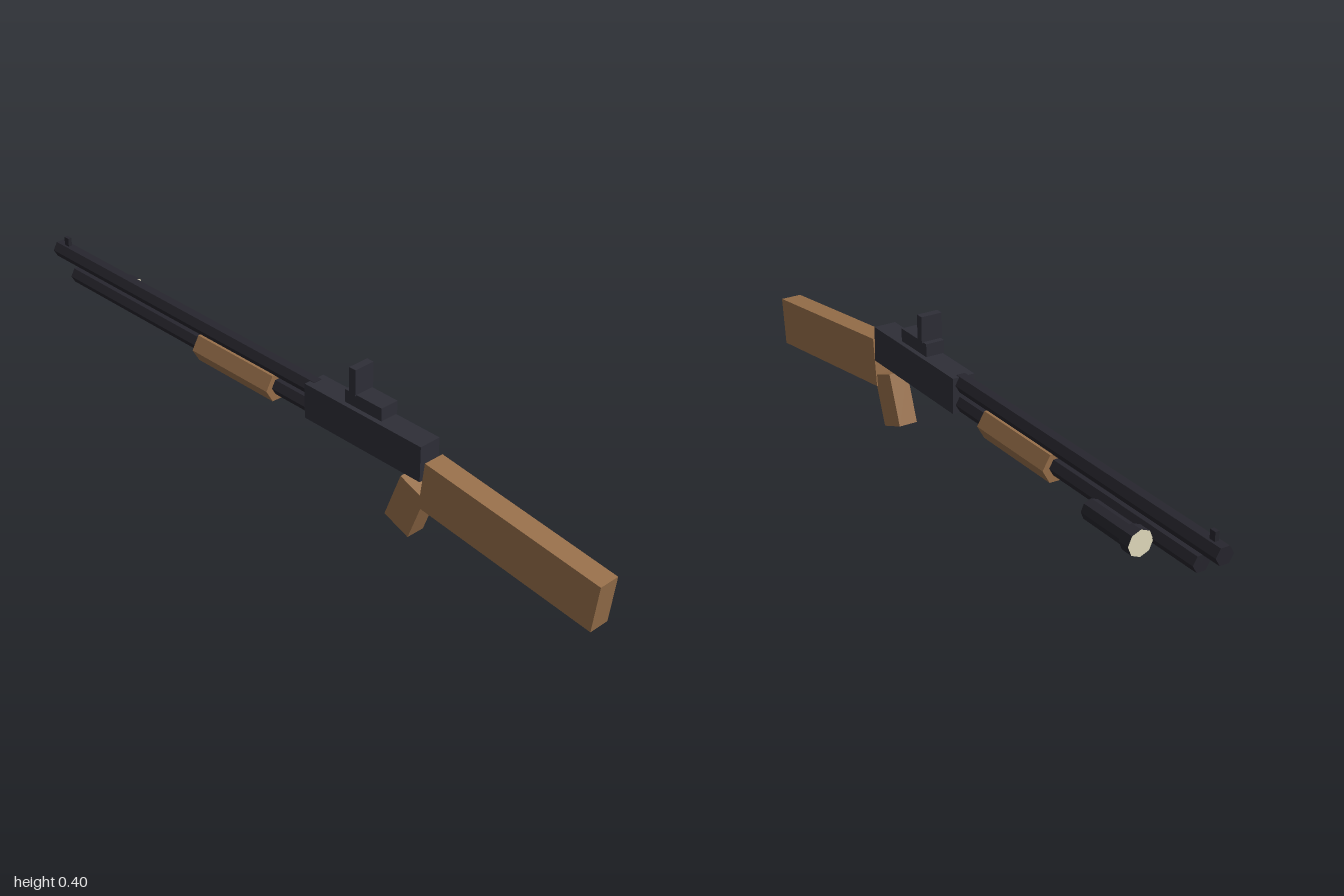
import * as THREE from 'three';

const mat = (name, color) => {
  const m = new THREE.MeshStandardMaterial({ color, flatShading: true });
  m.name = name;
  return m;
};

export function createModel() {
  const model = new THREE.Group();
  model.name = 'shotgun';
  const steel = mat('receiver steel', 0x2e2e37);
  const dark = mat('dark barrel steel', 0x27262e);
  const wood = mat('wood', 0x976f4a);
  const cream = mat('lamp lens', 0xe6dfc0);
  const axisX = -0.025; // the gun sits left of the centre, the lamp right of it

  const add = (name, geometry, material, x, y, z) => {
    const mesh = new THREE.Mesh(geometry, material);
    mesh.name = name;
    mesh.position.set(x, y, z);
    model.add(mesh);
    return mesh;
  };
  // Box tilted about the x axis
  const box = (name, material, w, h, d, y, z, tilt = 0) => {
    add(name, new THREE.BoxGeometry(w, h, d), material, axisX, y, z).rotation.x = tilt;
  };
  // Faceted bar running along z, between two z positions
  const bar = (name, material, r, sides, x, y, z0, z1, turn = 0) => {
    const g = new THREE.CylinderGeometry(r, r, Math.abs(z1 - z0), sides);
    g.rotateY(turn).rotateX(Math.PI / 2);
    return add(name, g, material, x, y, (z0 + z1) / 2);
  };

  // Receiver, stock and grip
  box('receiver', steel, 0.064, 0.099, 0.4, 0.233, 0.246);
  box('stock', wood, 0.06, 0.135, 0.545, 0.141, 0.721, 0.126);
  box('grip', wood, 0.054, 0.144, 0.086, 0.084, 0.393, 0.36);

  // Barrel, magazine tube and pump, hexagonal with corners at the sides
  const hex = Math.PI / 6;
  bar('barrel', dark, 0.025, 6, axisX, 0.262, 0.06, -1, hex);
  bar('magazineTube', dark, 0.024, 6, axisX, 0.207, 0.06, -0.925, hex);
  bar('pump', wood, 0.043, 6, axisX, 0.205, -0.085, -0.375, hex);

  // Sights
  box('frontSight', dark, 0.011, 0.026, 0.018, 0.295, -0.962);
  box('rearSightBase', steel, 0.054, 0.036, 0.125, 0.308, 0.247);
  box('rearSightPost', steel, 0.061, 0.073, 0.022, 0.36, 0.212);

  // Side lamp: dark body, wider head with cream end faces
  bar('lampBody', dark, 0.028, 8, 0.031, 0.205, -0.59, -0.75);
  bar('lampHead', [dark, cream, cream], 0.035, 8, 0.031, 0.205, -0.745, -0.78);

  return model;
}
